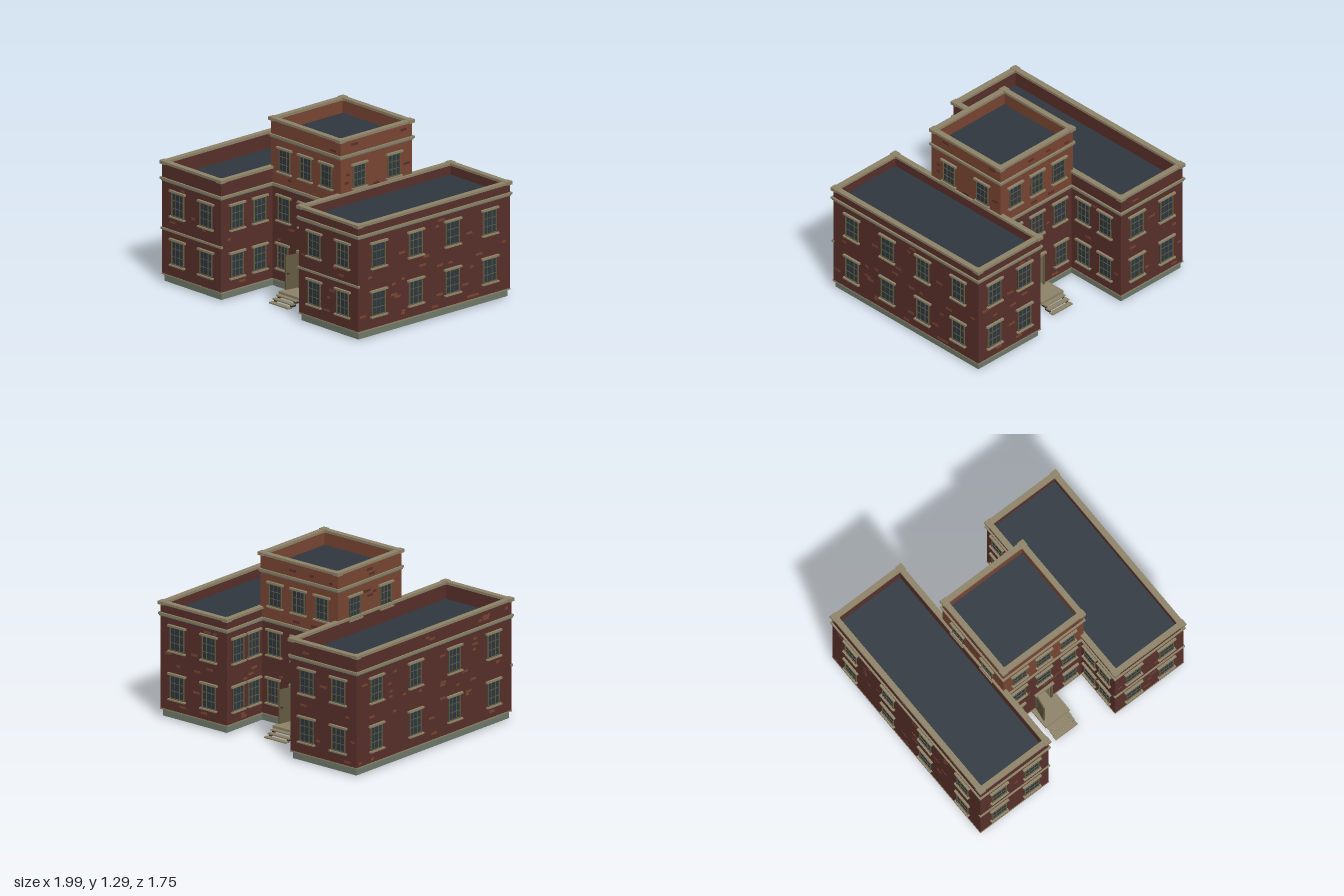
import * as THREE from 'three';

const mat = (name, color, side = THREE.FrontSide) => {
  const m = new THREE.MeshStandardMaterial({ color, side });
  m.name = name;
  return m;
};
const M = {
  brick: mat('dark brick', 0x59302a),
  upper: mat('light brick', 0x7a4633),
  trim: mat('stone trim', 0x8f8469),
  plinth: mat('foundation', 0x6f7a6b),
  frame: mat('window frame', 0x655c42),
  glass: mat('glass', 0x2c3840),
  roof: mat('roof', 0x2f3740),
  iron: mat('dark metal', 0x33322c),
};

// Box given by its two extreme corners
function block(parent, name, m, x0, x1, y0, y1, z0, z1) {
  const mesh = new THREE.Mesh(new THREE.BoxGeometry(x1 - x0, y1 - y0, z1 - z0), m);
  mesh.position.set((x0 + x1) / 2, (y0 + y1) / 2, (z0 + z1) / 2);
  mesh.name = name;
  parent.add(mesh);
  return mesh;
}

// Rectangular ring running around a plan, "out" beyond it and "inn" within it
function ring(parent, name, m, [x0, x1, z0, z1], y0, y1, out, inn) {
  block(parent, name, m, x0 - out, x1 + out, y0, y1, z1 - inn, z1 + out);
  block(parent, name, m, x0 - out, x1 + out, y0, y1, z0 - out, z0 + inn);
  block(parent, name, m, x0 - out, x0 + inn, y0, y1, z0 + inn, z1 - inn);
  block(parent, name, m, x1 - inn, x1 + out, y0, y1, z0 + inn, z1 - inn);
}

// Two-step cornice whose top is at y
function cornice(parent, plan, y) {
  ring(parent, 'cornice', M.trim, plan, y - 0.016, y, 0.013, 0.005);
  ring(parent, 'corniceFoot', M.plinth, plan, y - 0.027, y - 0.016, 0.007, 0.005);
}

// Brick parapet with coping, corner caps and a sunken roof
function parapet(parent, m, plan, roofY, top) {
  const [x0, x1, z0, z1] = plan;
  ring(parent, 'parapet', m, plan, roofY - 0.005, top - 0.02, 0, 0.03);
  ring(parent, 'coping', M.trim, plan, top - 0.022, top - 0.003, 0.01, 0.033);
  for (const x of [x0, x1]) for (const z of [z0, z1]) {
    const cx = x === x0 ? x + 0.011 : x - 0.011, cz = z === z0 ? z + 0.011 : z - 0.011;
    block(parent, 'copingCorner', M.trim, cx - 0.026, cx + 0.026, top - 0.025, top, cz - 0.026, cz + 0.026);
  }
  block(parent, 'roof', M.roof, x0 + 0.02, x1 - 0.02, roofY - 0.01, roofY + 0.003, z0 + 0.02, z1 - 0.02);
}

// Window centred at (u, y) on a wall facing local +z
function addWindow(parent, u, y, w, h) {
  const g = new THREE.Group();
  g.name = 'window';
  g.position.set(u, y, 0);
  parent.add(g);
  const a = w / 2, b = h / 2, t = 0.007;
  block(g, 'pane', M.glass, -a, a, -b, b, -0.002, 0.003);
  for (const s of [-1, 1]) {
    block(g, 'frameSide', M.frame, s * (a - t / 2) - t / 2, s * (a - t / 2) + t / 2, -b, b, 0, 0.01);
    block(g, 'frameRail', M.frame, -a, a, s * (b - t / 2) - t / 2, s * (b - t / 2) + t / 2, 0, 0.009);
    block(g, 'glazingBar', M.frame, s * w / 6 - 0.002, s * w / 6 + 0.002, -b, b, 0, 0.006);
    block(g, 'crossBar', M.frame, -a, a, s * h / 6 - 0.002, s * h / 6 + 0.002, 0, 0.0065);
  }
  block(g, 'lintel', M.trim, -a - 0.018, a + 0.018, b, b + 0.015, -0.002, 0.018);
  block(g, 'sill', M.trim, -a - 0.014, a + 0.014, b * -1 - 0.011, -b, -0.002, 0.022);
}

let seed = 7;
const rand = () => (seed = (seed * 16807) % 2147483647) / 2147483647;

// Wall detail: windows [u, y, w, h] plus scattered odd-coloured bricks clear of openings
function wall(parent, name, x, z, turn, width, y0, y1, windows, brickMat, gaps = []) {
  const g = new THREE.Group();
  g.name = name;
  g.position.set(x, 0, z);
  g.rotation.y = turn * Math.PI / 2;
  parent.add(g);
  for (const win of windows) addWindow(g, ...win);
  const blocked = [...windows, ...gaps];
  const count = Math.round(width * (y1 - y0) * 42);
  for (let i = 0; i < count; i++) {
    const w = rand() < 0.4 ? 0.035 : 0.06;
    const u = (rand() - 0.5) * (width - w - 0.03);
    const y = y0 + 0.02 + Math.floor(rand() * (y1 - y0 - 0.04) / 0.02) * 0.02;
    if (blocked.some(([bu, by, bw, bh]) => Math.abs(u - bu) < (bw + w) / 2 + 0.02 && Math.abs(y - by) < bh / 2 + 0.03)) continue;
    block(g, 'oddBrick', brickMat, u - w / 2, u + w / 2, y - 0.009, y + 0.009, -0.002, 0.0015);
  }
}

// Windows on both main floors at the given offsets
const floors = (us, w = 0.13) => us.flatMap(u => [[u, 0.255, w, 0.18], [u, 0.62, w, 0.18]]);

function wing(root, name, plan, top, outer, innerZ, outerZ, frontX) {
  const g = new THREE.Group();
  g.name = name;
  root.add(g);
  const [x0, x1, z0, z1] = plan, cx = (x0 + x1) / 2, len = z1 - z0;
  block(g, 'foundation', M.plinth, x0 + 0.012, x1 - 0.012, 0.013, 0.066, z0 + 0.012, z1 - 0.012);
  block(g, 'baseCourse', M.trim, x0 - 0.003, x1 + 0.003, 0.064, 0.074, z0 - 0.003, z1 + 0.003);
  block(g, 'walls', M.brick, x0, x1, 0.07, 0.785, z0, z1);
  parapet(g, M.brick, plan, 0.79, top);
  cornice(g, plan, 0.8);
  // string course on the front end only
  block(g, 'stringCourse', M.trim, x0 - 0.008, x1 + 0.008, 0.406, 0.422, z1 - 0.01, z1 + 0.01);
  const us = frontX.map(x => x - cx);
  wall(g, 'frontWall', cx, z1, 0, x1 - x0, 0.08, top - 0.03, floors(us), M.upper, [[0, 0.41, 2, 0.01], [0, 0.79, 2, 0.02]]);
  wall(g, 'backWall', cx, z0, 2, x1 - x0, 0.08, top - 0.03, floors(us.map(u => -u)), M.upper, [[0, 0.79, 2, 0.02]]);
  wall(g, 'outerWall', outer > 0 ? x1 : x0, 0, outer, len, 0.08, top - 0.03, floors(outerZ), M.upper, [[0, 0.79, 2, 0.02]]);
  // inner wall is interrupted by the central block
  const inner = floors(innerZ.flatMap(z => [z, -z]), 0.12);
  wall(g, 'innerWall', outer > 0 ? x0 : x1, 0, -outer, len, 0.08, top - 0.03, inner, M.upper, [[0, 0.5, 0.74, 1], [0, 0.79, 2, 0.02]]);
}

// Door surround, open leaf, landing and steps, facing local +z
function entrance(root, name, turn) {
  const g = new THREE.Group();
  g.name = name;
  g.rotation.y = turn * Math.PI;
  root.add(g);
  for (const s of [-1, 1]) block(g, 'doorJamb', M.frame, s * 0.068 - 0.009, s * 0.068 + 0.009, 0.07, 0.335, 0.34, 0.362);
  block(g, 'doorLintel', M.trim, -0.085, 0.085, 0.333, 0.352, 0.34, 0.37);
  const leaf = new THREE.Group();
  leaf.name = 'doorLeaf';
  leaf.position.set(-0.07, 0, 0.36);
  leaf.rotation.y = -0.16;
  block(leaf, 'doorPanel', M.frame, -0.005, 0.005, 0.074, 0.33, 0, 0.11);
  for (const s of [-1, 1]) block(leaf, 'doorHandle', M.iron, s * 0.008 - 0.004, s * 0.008 + 0.004, 0.19, 0.2, 0.085, 0.1);
  g.add(leaf);
  block(g, 'landing', M.trim, -0.11, 0.11, 0.05, 0.07, 0.34, 0.515);
  for (let i = 0; i < 3; i++) {
    const z = 0.51 + i * 0.036, y = 0.052 - i * 0.019;
    block(g, 'tread', M.trim, -0.1, 0.1, y - 0.009, y, z, z + 0.038);
    for (const s of [-1, 1]) block(g, 'stepSupport', M.iron, s * 0.085 - 0.008, s * 0.085 + 0.008, Math.max(0, y - 0.026), y - 0.008, z - 0.012, z + 0.03);
  }
}

export function createModel() {
  const root = new THREE.Group();
  root.name = 'brickBuilding';

  wing(root, 'rightWing', [-0.975, -0.352, -0.856, 0.852], 0.925, -1, [0.48, 0.7], [-0.64, -0.21, 0.22, 0.65], [-0.807, -0.508]);
  wing(root, 'leftWing', [0.347, 0.973, -0.742, 0.738], 0.883, 1, [0.45, 0.62], [-0.543, -0.18, 0.18, 0.543], [0.513, 0.813]);

  // Central block with a passage running front to back
  const c = new THREE.Group();
  c.name = 'centralBlock';
  root.add(c);
  const plan = [-0.368, 0.364, -0.352, 0.35];
  block(c, 'foundation', M.plinth, -0.36, 0.36, 0.013, 0.066, -0.34, 0.338);
  block(c, 'passageFloor', M.trim, -0.36, 0.36, 0.064, 0.074, -0.355, 0.353);
  for (const s of [-1, 1]) {
    block(c, 'lowerWall', M.brick, s * 0.21 - 0.147, s * 0.21 + 0.147, 0.07, 0.335, -0.352, 0.35);
    block(c, 'passageWall', M.trim, s * 0.061 - 0.003, s * 0.061 + 0.003, 0.07, 0.335, -0.35, 0.348);
  }
  block(c, 'passageCeiling', M.trim, -0.06, 0.06, 0.33, 0.336, -0.35, 0.348);
  block(c, 'middleWall', M.brick, -0.357, 0.357, 0.335, 0.785, -0.352, 0.35);
  block(c, 'upperWall', M.upper, plan[0], plan[1], 0.785, 1.165, plan[2], plan[3]);
  cornice(c, [-0.357, 0.357, -0.352, 0.35], 0.8);
  cornice(c, plan, 1.165);
  parapet(c, M.upper, plan, 1.17, 1.29);

  const lower = [[-0.24, 0.255, 0.108, 0.18], [0.24, 0.255, 0.108, 0.18], ...[-0.228, 0, 0.228].map(u => [u, 0.62, 0.12, 0.18])];
  const upper = [-0.22, 0, 0.22].map(u => [u, 0.985, 0.12, 0.17]);
  const band = [[0, 1.15, 2, 0.02]];
  for (const [name, z, turn] of [['front', 0.35, 0], ['back', -0.352, 2]]) {
    wall(c, name + 'LowerWall', 0, z, turn, 0.68, 0.08, 0.77, lower, M.upper, [[0, 0.2, 0.18, 0.32]]);
    wall(c, name + 'UpperWall', 0, z, turn, 0.72, 0.81, 1.265, upper, M.brick, band);
    entrance(root, name + 'Entrance', turn / 2);
  }
  const side = [-0.17, 0.17].map(u => [u, 0.985, 0.12, 0.17]);
  wall(c, 'leftUpperWall', plan[1], 0, 1, 0.69, 0.87, 1.265, side, M.brick, band);
  wall(c, 'rightUpperWall', plan[0], 0, -1, 0.69, 0.91, 1.265, side, M.brick, band);
  return root;
}
